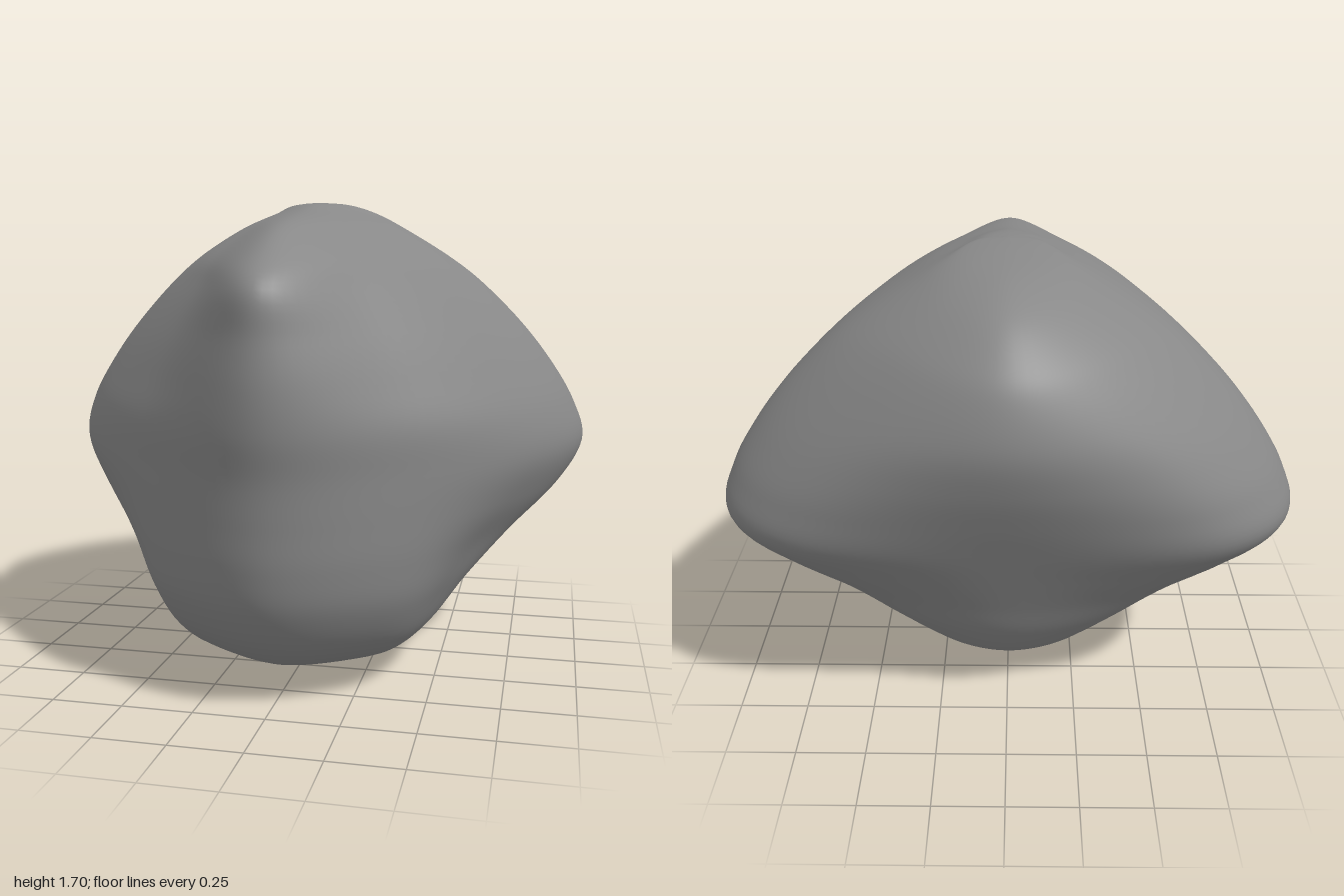
import * as THREE from 'three';
import { mergeVertices } from 'three/addons/utils/BufferGeometryUtils.js';

// Level rows: y, front z, front shoulder x z, flank bulge, wing x z, back shoulder x z, back z
const levels = [
  [0.02, 0.22, 0.12, 0.15, 0.02, 0.18, 0.02, 0.11, -0.09, -0.13],
  [0.10, 0.52, 0.26, 0.39, 0.05, 0.36, 0.06, 0.23, -0.19, -0.28],
  [0.20, 0.67, 0.33, 0.52, 0.06, 0.475, 0.06, 0.31, -0.27, -0.40],
  [0.35, 0.77, 0.39, 0.59, 0.05, 0.60, 0.01, 0.42, -0.37, -0.51],
  [0.50, 0.81, 0.43, 0.60, 0.05, 0.75, -0.11, 0.53, -0.46, -0.58],
  [0.65, 0.825, 0.45, 0.60, 0.08, 0.91, -0.24, 0.64, -0.57, -0.65],
  [0.80, 0.84, 0.46, 0.60, 0.11, 1.00, -0.33, 0.71, -0.67, -0.72],
  [0.95, 0.87, 0.46, 0.60, 0.11, 0.96, -0.34, 0.66, -0.70, -0.79],
  [1.10, 0.88, 0.42, 0.58, 0.10, 0.87, -0.34, 0.56, -0.72, -0.85],
  [1.25, 0.87, 0.36, 0.56, 0.09, 0.75, -0.34, 0.44, -0.73, -0.88],
  [1.40, 0.855, 0.28, 0.53, 0.08, 0.60, -0.33, 0.35, -0.69, -0.85],
  [1.50, 0.73, 0.25, 0.43, 0.06, 0.47, -0.32, 0.29, -0.63, -0.79],
  [1.60, 0.50, 0.17, 0.25, 0.04, 0.31, -0.29, 0.20, -0.53, -0.67],
  [1.66, 0.15, 0.11, 0.04, 0.01, 0.20, -0.24, 0.13, -0.40, -0.50],
  [1.69, 0.00, 0.06, -0.04, 0.00, 0.11, -0.14, 0.07, -0.23, -0.27],
];

// Ten control points around one level, mirrored across x = 0
function ringPoints([y, zf, fx, fz, bulge, wx, wz, bx, bz, zb]) {
  const half = [
    [fx, fz],
    [(fx + wx) / 2 + bulge * 0.85, (fz + wz) / 2 + bulge * 0.5],
    [wx, wz],
    [bx, bz],
  ];
  const ring = [[0, zf], ...half, [0, zb], ...half.map(([x, z]) => [-x, z]).reverse()];
  return ring.map(([x, z]) => new THREE.Vector3(x, y, z));
}

const pole = (y, z) => Array.from({ length: 10 }, () => new THREE.Vector3(0, y, z));

function loft(rings, around, up) {
  // Smooth vertical ribs, then a smooth closed ring at each height
  const ribs = rings[0].map((_, i) =>
    new THREE.CatmullRomCurve3(rings.map((r) => r[i]), false, 'catmullrom', 0.5));
  const positions = [];
  const index = [];
  for (let j = 0; j <= up; j++) {
    const ring = new THREE.CatmullRomCurve3(
      ribs.map((rib) => rib.getPoint(j / up)), true, 'catmullrom', 0.5);
    for (let i = 0; i < around; i++) positions.push(...ring.getPoint(i / around).toArray());
  }
  for (let j = 0; j < up; j++) {
    for (let i = 0; i < around; i++) {
      const a = j * around + i;
      const b = j * around + (i + 1) % around;
      // Single triangles close the two poles
      if (j > 0) index.push(a, b, a + around);
      if (j < up - 1) index.push(b, b + around, a + around);
    }
  }
  const geometry = new THREE.BufferGeometry();
  geometry.setAttribute('position', new THREE.Float32BufferAttribute(positions, 3));
  geometry.setIndex(index);
  const merged = mergeVertices(geometry, 1e-5);
  merged.computeVertexNormals();
  return merged;
}

export function createModel() {
  const group = new THREE.Group();
  group.name = 'smoothStone';
  const rings = [pole(0, 0.02), ...levels.map(ringPoints), pole(1.7, -0.12)];
  const stone = new THREE.Mesh(
    loft(rings, 100, 96),
    new THREE.MeshStandardMaterial({ color: 0x888888 }));
  stone.name = 'stoneBody';
  group.add(stone);
  return group;
}
